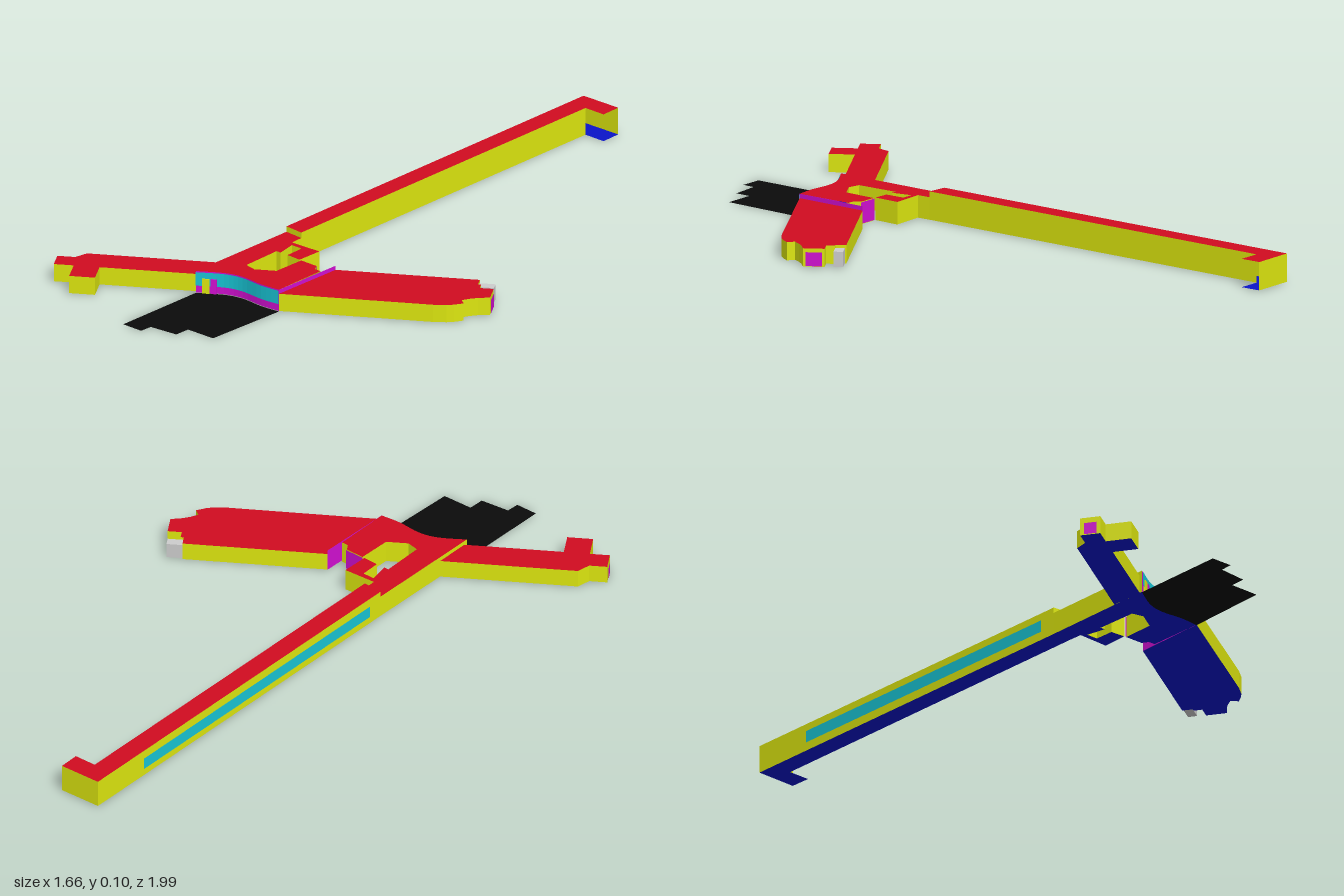
import * as THREE from 'three';

const mat = (color) => new THREE.MeshStandardMaterial({ color, side: THREE.DoubleSide });
const RED = mat(0xd00c20), YELLOW = mat(0xdce60f), BLUE = mat(0x0a14c8), BLACK = mat(0x0a0a0a);
const CYAN = mat(0x18c4d4), MAGENTA = mat(0xd010d0), GREY = mat(0xcccccc);

function mesh(name, geometry, material) {
  const m = new THREE.Mesh(geometry, material);
  m.name = name;
  return m;
}

// Flat plate from a footprint of [x, z] corners
function plate(name, pts, y, material) {
  const g = new THREE.ShapeGeometry(new THREE.Shape(pts.map(([x, z]) => new THREE.Vector2(x, -z))));
  g.rotateX(-Math.PI / 2).translate(0, y, 0);
  return mesh(name, g, material);
}

// Upright strips along [start, end] pairs of [x, z] points
function walls(name, edges, y0, y1, material) {
  const v = [];
  for (const [[ax, az], [bx, bz]] of edges) {
    v.push(ax, y0, az, bx, y0, bz, bx, y1, bz, ax, y0, az, bx, y1, bz, ax, y1, az);
  }
  const g = new THREE.BufferGeometry();
  g.setAttribute('position', new THREE.Float32BufferAttribute(v, 3));
  g.computeVertexNormals();
  return mesh(name, g, material);
}

// Roof, floor and outer walls of one wing; edges listed in skip stay open
function wing(name, pts, height, skip = []) {
  const group = new THREE.Group();
  group.name = name;
  const edges = pts.map((p, i) => [p, pts[(i + 1) % pts.length]]).filter((_, i) => !skip.includes(i));
  group.add(
    plate('roof', pts, height, RED),
    plate('floor', pts, 0.002, BLUE),
    walls('outerWalls', edges, 0.002, height, YELLOW),
  );
  return group;
}

function box(name, x0, x1, y0, y1, z0, z1, material) {
  const g = new THREE.BoxGeometry(x1 - x0, y1 - y0, z1 - z0);
  g.translate((x0 + x1) / 2, (y0 + y1) / 2, (z0 + z1) / 2);
  return mesh(name, g, material);
}

const lerp = (a, b, t) => [a[0] + (b[0] - a[0]) * t, a[1] + (b[1] - a[1]) * t];
const pairs = (pts) => pts.slice(1).map((p, i) => [pts[i], p]);
const shift = (pts, dx, dz) => pts.map(([x, z]) => [x + dx, z + dz]);

export function createModel() {
  const model = new THREE.Group();

  // Long diagonal wing, its hooked end open on two sides
  const backA = [0.693, -0.997], backB = [-0.103, 0.251];
  model.add(wing('longWing', [
    backA, [0.825, -0.918], [0.786, -0.854], [0.717, -0.897], [-0.045, 0.294], backB,
  ], 0.1, [1, 2]));

  // Window band on the outer side of the long wing
  const band = [];
  for (let i = 0; i <= 40; i++) band.push(lerp(backA, backB, 0.16 + 0.8 * i / 40));
  model.add(walls('longWingWindows', pairs(shift(band, -0.003, -0.002)), 0.03, 0.072, CYAN));

  // Curved entrance front
  const front = new THREE.SplineCurve([
    [-0.347, 0.627], [-0.25, 0.627], [-0.183, 0.648], [-0.11, 0.7], [-0.045, 0.733],
  ].map(([x, z]) => new THREE.Vector2(x, z))).getPoints(16).map((p) => [p.x, p.y]);

  // Central hall with its courtyard notch and hooked stub
  const hall = [
    [-0.103, 0.251], [-0.045, 0.294], [-0.07, 0.336], [0.034, 0.394], [-0.02, 0.474], [-0.066, 0.442],
    [-0.029, 0.381], [-0.066, 0.358], [-0.093, 0.426], [-0.108, 0.416], [-0.188, 0.548], [-0.156, 0.579],
    [-0.08, 0.579], [-0.013, 0.479], [0.045, 0.516], [0.045, 0.542], [0.066, 0.556],
    ...front.slice().reverse(),
  ];
  const frontEdges = front.map((_, i) => 17 + i).slice(0, -1);
  model.add(wing('centralHall', hall, 0.08, [0, 16, ...frontEdges]));
  model.add(walls('hallFront', pairs(front), 0.002, 0.08, MAGENTA));
  model.add(walls('hallWindows', pairs(shift(front, -0.001, 0.003)), 0.028, 0.077, CYAN));
  model.add(walls('hallPartition', [[[-0.045, 0.733], [0.108, 0.503]]], 0.002, 0.08, MAGENTA));
  model.add(walls('courtyardWall', [[[-0.013, 0.477], [0.047, 0.515]]], 0.004, 0.078, MAGENTA));

  // Entrance doors
  model.add(box('entranceDoor', -0.325, -0.3, 0.002, 0.055, 0.625, 0.633, YELLOW));
  model.add(box('entranceFrame', -0.295, -0.275, 0.002, 0.055, 0.625, 0.633, MAGENTA));

  // Wide wing with a rounded front corner and stepped end
  model.add(wing('wideWing', [
    [-0.045, 0.733], [0.108, 0.503], [0.6, 0.503], [0.6, 0.54], [0.611, 0.54], [0.611, 0.57],
    [0.659, 0.57], [0.659, 0.643], [0.62, 0.653], [0.595, 0.664], [0.569, 0.68], [0.58, 0.706],
    [0.55, 0.722], [0.526, 0.73], [0.48, 0.735],
  ], 0.065, [0]));
  model.add(walls('wideWingDoor', [[[0.661, 0.578], [0.661, 0.635]]], 0.004, 0.052, MAGENTA));
  model.add(box('annex', 0.6, 0.655, 0.002, 0.055, 0.508, 0.54, GREY));

  // Narrow wing with a short front stub
  model.add(wing('narrowWing', [
    [-0.272, 0.51], [-0.738, 0.51], [-0.772, 0.547], [-0.833, 0.547], [-0.833, 0.617], [-0.765, 0.617],
    [-0.765, 0.706], [-0.677, 0.706], [-0.677, 0.617], [-0.34, 0.617],
  ], 0.065, [9]));
  model.add(walls('narrowWingDoor', [[[-0.835, 0.56], [-0.835, 0.605]]], 0.004, 0.045, MAGENTA));

  // Paved forecourt
  model.add(plate('forecourt', [
    ...front, [-0.225, 0.992], [-0.32, 0.934], [-0.352, 0.981], [-0.447, 0.934], [-0.474, 0.971], [-0.542, 0.928],
  ], 0, BLACK));

  return model;
}
